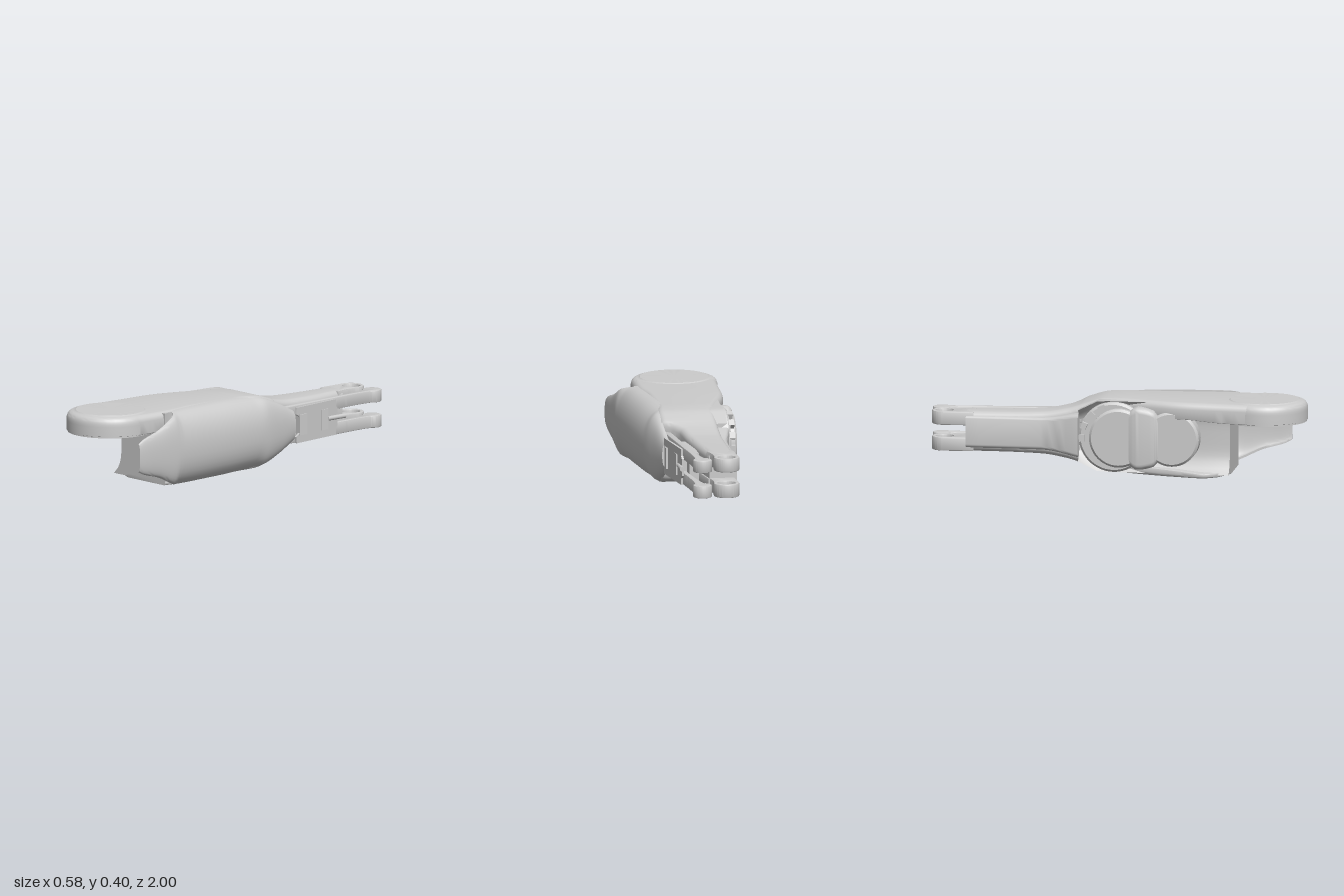
import * as THREE from 'three';
import { toCreasedNormals } from 'three/addons/utils/BufferGeometryUtils.js';

const MID = 0.205; // height of the horizontal symmetry plane
const material = new THREE.MeshStandardMaterial({ color: 0xcccccc, side: THREE.DoubleSide });

function add(parent, name, geometry, x = 0, y = 0, z = 0) {
  const mesh = new THREE.Mesh(geometry, material);
  mesh.name = name;
  mesh.position.set(x, y, z);
  parent.add(mesh);
  return mesh;
}

// Monotone cubic interpolation of a station table; column 0 is z.
function sample(table, z) {
  let k = 0;
  while (k < table.length - 2 && z > table[k + 1][0]) k++;
  const slope = (i, c) => (table[i + 1][c] - table[i][c]) / (table[i + 1][0] - table[i][0]);
  const tangent = (i, c) => {
    if (i === 0) return slope(0, c);
    if (i === table.length - 1) return slope(i - 1, c);
    const a = slope(i - 1, c), b = slope(i, c);
    return a * b <= 0 ? 0 : (2 * a * b) / (a + b);
  };
  const d = table[k + 1][0] - table[k][0], t = (z - table[k][0]) / d;
  return table[k].map((v, c) => c === 0 ? z
    : v * (1 + 2 * t) * (1 - t) ** 2 + tangent(k, c) * d * t * (1 - t) ** 2
    + table[k + 1][c] * t * t * (3 - 2 * t) + tangent(k + 1, c) * d * t * t * (t - 1));
}

// Closed solid through rings of [x, y] placed along z.
function loft(table, ringOf, steps = 6, crease = 0.6) {
  const rows = [];
  table.forEach((s, i) => {
    if (i === 0) return rows.push(s);
    const z0 = table[i - 1][0];
    for (let k = 1; k <= steps; k++) rows.push(sample(table, z0 + (s[0] - z0) * k / steps));
  });
  const rings = rows.map(ringOf), n = rings[0].length, pos = [], index = [];
  rings.forEach((ring, i) => ring.forEach(([x, y]) => pos.push(x, y, rows[i][0])));
  for (let i = 0; i < rings.length - 1; i++) {
    for (let j = 0; j < n; j++) {
      const a = i * n + j, b = i * n + (j + 1) % n;
      index.push(a, b, b + n, a, b + n, a + n);
    }
  }
  const cap = (ring) => THREE.ShapeUtils.triangulateShape(ring.map(p => new THREE.Vector2(...p)), []);
  const last = (rings.length - 1) * n;
  cap(rings[0]).forEach(([a, b, c]) => index.push(a, c, b));
  cap(rings[rings.length - 1]).forEach(([a, b, c]) => index.push(last + a, last + b, last + c));
  const g = new THREE.BufferGeometry();
  g.setAttribute('position', new THREE.Float32BufferAttribute(pos, 3));
  g.setIndex(index);
  return toCreasedNormals(g, crease);
}

// Rounded rectangle; rb and rt are the lower and upper corner radii.
function roundedRing(x0, x1, y0, y1, rb, rt) {
  const ring = [];
  [[x1, y1, rt, 0], [x0, y1, rt, 1], [x0, y0, rb, 2], [x1, y0, rb, 3]].forEach(([x, y, r, q]) => {
    for (let k = 0; k <= 5; k++) {
      const a = (q + k / 5) * Math.PI / 2;
      ring.push([x + r * (Math.cos(a) - (x === x1 ? 1 : -1)), y + r * (Math.sin(a) - (y === y1 ? 1 : -1))]);
    }
  });
  return ring;
}

// Outline drawn in (x, z), extruded from y0 to y1.
function plate(shape, y0, y1, bevel = 0.008) {
  const g = new THREE.ExtrudeGeometry(shape, {
    depth: y1 - y0 - 2 * bevel, bevelEnabled: true, bevelThickness: bevel,
    bevelSize: bevel, bevelOffset: -bevel, bevelSegments: 2, curveSegments: 24 });
  g.rotateX(Math.PI / 2).translate(0, y1 - bevel, 0);
  return toCreasedNormals(g, 0.6);
}

// Disc whose axis runs along x, with a chamfered outer rim.
function sideDisc(r, x0, x1) {
  const c = 0.012, d = x1 - x0;
  const pts = [[0, 0], [r, 0], [r, d - c], [r - c, d], [0, d]].map(p => new THREE.Vector2(...p));
  return toCreasedNormals(new THREE.LatheGeometry(pts, 48).rotateZ(Math.PI / 2).translate(x1, 0, 0), 0.5);
}

export function createModel() {
  const model = new THREE.Group();
  model.name = 'armSegment';

  // Upper deck: z, left x, right x, bottom y, top y
  const deck = [
    [-0.8, -0.135, 0.005, 0.24, 0.31], [-0.6, -0.137, 0.03, 0.24, 0.311], [-0.4, -0.138, 0.05, 0.24, 0.317],
    [-0.27, -0.138, 0.07, 0.25, 0.338], [-0.22, -0.138, 0.105, 0.26, 0.352], [-0.18, -0.138, 0.165, 0.27, 0.366],
    [-0.07, -0.14, 0.165, 0.3, 0.396], [0.05, -0.17, 0.15, 0.315, 0.402], [0.35, -0.255, 0.15, 0.315, 0.402],
    [0.57, -0.27, 0.17, 0.3, 0.4], [0.77, -0.285, 0.163, 0.295, 0.398]];
  add(model, 'upperDeck', loft(deck, ([, x0, x1, y0, y1]) => roundedRing(x0, x1, y0, y1, 0.004, 0.035)));

  // Lower deck: mirrored rear, thin flared front edge
  const floor = deck.slice(0, 8).map(([z, x0, x1, y0, y1]) => [z, x0, x1, 2 * MID - y1, 2 * MID - y0 - (z > -0.1 ? 0.04 : 0)]);
  floor.push([0.33, -0.245, 0.15, 0.005, 0.04], [0.46, -0.268, 0.165, 0.005, 0.03],
    [0.54, -0.225, 0.175, 0.006, 0.028], [0.6, -0.12, 0.178, 0.009, 0.027]);
  add(model, 'lowerDeck', loft(floor, ([, x0, x1, y0, y1]) =>
    roundedRing(x0, x1, y0, y1, Math.min(0.035, (y1 - y0) * 0.45), 0.004)));

  // Core: full-width flared rear, then a waisted web behind the side discs
  add(model, 'rearCore', loft([
    [-0.8, -0.146, 0, 0.12, 0.29], [-0.4, -0.16, 0.045, 0.12, 0.29], [-0.2, -0.2, 0.07, 0.09, 0.32]],
  ([, x0, x1, y0, y1]) => roundedRing(x0, x1, y0, y1, 0.02, 0.02)));
  const waist = (x0, x1) => {
    const ring = [];
    for (let k = 0; k <= 12; k++) {
      const t = k / 12 * 2 - 1;
      ring.push([x0 - 0.06 * Math.abs(t) ** 4, MID - t * 0.188]);
    }
    return [...ring, [x1, 0.017], [x1, 0.393]];
  };
  add(model, 'frontCore', loft([
    [-0.2, -0.13, 0.09], [-0.1, -0.13, 0.13], [0.2, -0.14, 0.14], [0.56, -0.165, 0.17], [0.6, -0.165, 0.178]],
  ([z, x0, x1]) => {
    const squash = Math.min(1, 0.72 + Math.max(0, z + 0.2) * 2.6);
    return waist(x0, x1).map(([x, y]) => [x, MID + (y - MID) * squash]);
  }));

  // Shoulder cap: rounded drum with a thin lip and a slightly raised face
  const capProfile = new THREE.Path();
  capProfile.moveTo(0, 0.29).lineTo(0.222, 0.29).lineTo(0.222, 0.298).lineTo(0.228, 0.3).lineTo(0.228, 0.35);
  capProfile.bezierCurveTo(0.228, 0.385, 0.215, 0.398, 0.185, 0.4);
  capProfile.lineTo(0.18, 0.404).lineTo(0, 0.404);
  add(model, 'shoulderCap', toCreasedNormals(new THREE.LatheGeometry(capProfile.getPoints(8), 64), 0.6), -0.064, 0, 0.77);

  // Twin eyelet prongs at the rear
  const eye = new THREE.Shape();
  eye.moveTo(0.01, -0.76).lineTo(-0.135, -0.76).lineTo(-0.138, -0.92);
  eye.absarc(-0.07, -0.92, 0.068, Math.PI, Math.PI * 2, false);
  eye.quadraticCurveTo(-0.02, -0.85, 0.01, -0.76);
  eye.holes.push(new THREE.Path().absarc(-0.07, -0.92, 0.046, 0, Math.PI * 2, true));
  [[0.237, 0.31], [0.1, 0.173]].forEach(([y0, y1]) => add(model, 'eyeletProng', plate(eye, y0, y1)));

  // Twin control rods with round flat ends
  const rod = new THREE.Shape();
  rod.moveTo(0.11, -0.2).lineTo(0.078, -0.66).quadraticCurveTo(0.062, -0.84, 0.044, -0.905);
  rod.absarc(0.062, -0.95, 0.05, Math.PI * 0.63, Math.PI * 2.25, false);
  rod.quadraticCurveTo(0.088, -0.86, 0.108, -0.66).lineTo(0.145, -0.2);
  [[0.24, 0.305], [0.105, 0.17]].forEach(([y0, y1]) => add(model, 'controlRod', plate(rod, y0, y1, 0.006)));

  // Link plate outside the rods, held by small lugs
  const link = new THREE.Shape();
  link.moveTo(-0.16, -0.095).lineTo(0.15, -0.095).lineTo(0.15, -0.06).lineTo(0.165, -0.045).lineTo(0.165, 0.045)
    .lineTo(0.15, 0.06).lineTo(0.15, 0.095).lineTo(-0.16, 0.095).lineTo(-0.165, 0.06).lineTo(-0.13, 0.04)
    .lineTo(-0.13, -0.04).lineTo(-0.165, -0.06);
  const linkGeometry = new THREE.ExtrudeGeometry(link, { depth: 0.012, bevelEnabled: false });
  add(model, 'linkPlate', linkGeometry, 0.134, MID, -0.49).rotation.y = Math.PI / 2 + 0.13;
  [-0.55, -0.38].forEach(z => {
    add(model, 'linkLug', new THREE.BoxGeometry(0.1, 0.11, 0.05), 0.1 + (z + 0.5) * 0.15, MID, z);
  });
  add(model, 'linkBracket', new THREE.BoxGeometry(0.05, 0.15, 0.32), 0.06, MID, -0.5);
  add(model, 'linkPin', new THREE.CylinderGeometry(0.012, 0.012, 0.12, 16).rotateX(Math.PI / 2), 0.13, MID, -0.64);

  // Curved outer guard: z, edge x, outer x, half height
  const guard = [
    [-0.32, 0.14, 0.175, 0.082], [-0.2, 0.15, 0.203, 0.14], [-0.1, 0.15, 0.225, 0.178], [-0.02, 0.112, 0.237, 0.192],
    [0.2, 0.13, 0.258, 0.199], [0.4, 0.152, 0.271, 0.199], [0.54, 0.172, 0.279, 0.196], [0.6, 0.235, 0.282, 0.178],
    [0.72, 0.258, 0.286, 0.125], [0.83, 0.27, 0.289, 0.094], [0.87, 0.275, 0.289, 0.075]];
  add(model, 'outerGuard', loft(guard, ([, x0, x1, h]) => {
    const ring = [], t = Math.min(0.012, (x1 - x0) * 0.6);
    const arc = (s, w, hh) => {
      for (let k = 0; k <= 20; k++) {
        const a = s * (k / 20 - 0.5) * Math.PI;
        ring.push([x0 + w * Math.max(0, Math.cos(a)) ** 0.9, MID + hh * Math.sign(a) * Math.abs(Math.sin(a)) ** 0.9]);
      }
    };
    arc(1, x1 - x0, h);
    arc(-1, x1 - x0 - t, h - t);
    return ring;
  }));

  // Side joint discs, with grip blocks on the rear one
  const joint = new THREE.Group();
  joint.name = 'sideJoint';
  model.add(joint);
  add(joint, 'rearDiscBase', sideDisc(0.185, -0.215, -0.12), 0, MID, -0.01);
  add(joint, 'rearDiscFace', sideDisc(0.155, -0.255, -0.2), 0, MID, 0.02);
  add(joint, 'frontDisc', sideDisc(0.145, -0.25, -0.12), 0, MID, 0.3);
  for (let k = 0; k < 4; k++) {
    const a = Math.PI * (0.62 + k * 0.13);
    add(joint, 'gripBlock', new THREE.BoxGeometry(0.03, 0.035, 0.03),
      -0.222, MID + 0.165 * Math.sin(a), -0.01 + 0.165 * Math.cos(a)).rotation.x = -a;
  }

  // Waisted cover between the two discs
  add(joint, 'discCover', loft([[0.06, -0.25, 0.13], [0.12, -0.266, 0.165], [0.2, -0.262, 0.15], [0.23, -0.25, 0.12]],
    ([, x0, h]) => roundedRing(x0, -0.14, MID - h, MID + h, 0.03, 0.03)));

  return model;
}
